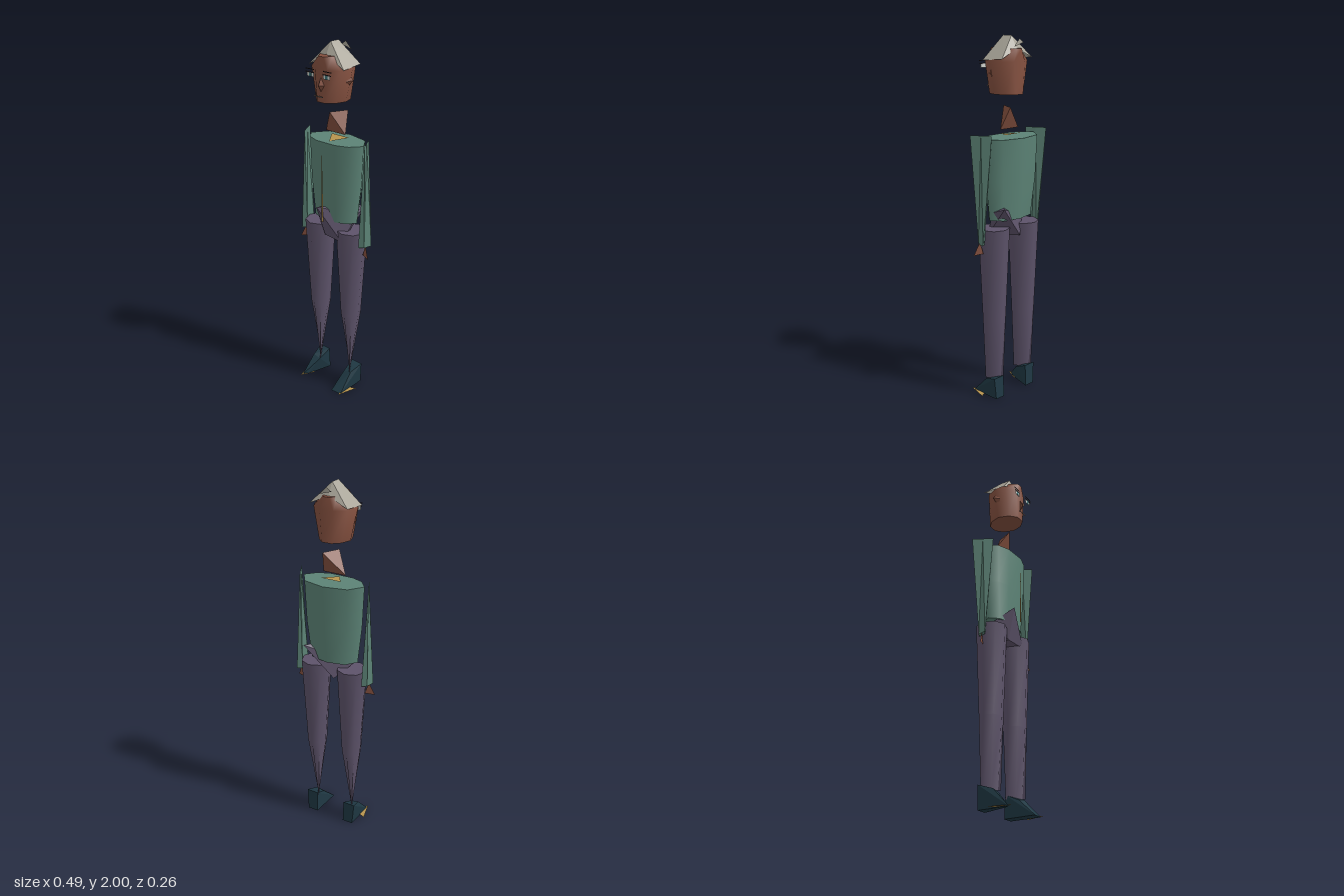
import * as THREE from 'three';
import { ConvexGeometry } from 'three/addons/geometries/ConvexGeometry.js';

const mat = (name, color) => {
  const m = new THREE.MeshStandardMaterial({ color, side: THREE.DoubleSide });
  m.name = name;
  return m;
};

// Closed skin through rings of [x, y, z], listed from bottom to top
function loft(rings, flat = false) {
  const n = rings[0].length, pos = [], idx = [];
  rings.forEach(r => r.forEach(p => pos.push(...p)));
  for (let i = 0; i < rings.length - 1; i++) {
    for (let j = 0; j < n; j++) {
      const a = i * n + j, b = i * n + (j + 1) % n;
      idx.push(a, a + n, b, b, a + n, b + n);
    }
  }
  [rings[0], rings[rings.length - 1]].forEach((r, top) => {
    const s = pos.length / 3;
    r.forEach(p => pos.push(...p));
    for (let j = 1; j < n - 1; j++) idx.push(s, s + j + top, s + j + 1 - top);
  });
  let g = new THREE.BufferGeometry();
  g.setAttribute('position', new THREE.Float32BufferAttribute(pos, 3));
  g.setIndex(idx);
  if (flat) g = g.toNonIndexed();
  g.computeVertexNormals();
  return g;
}

// Ring spanned by two half-axes a and b in the xz plane
function ring(cx, y, cz, a, b, n) {
  return Array.from({ length: n }, (_, i) => {
    const c = Math.cos(i / n * Math.PI * 2), s = Math.sin(i / n * Math.PI * 2);
    return [cx + a[0] * c + b[0] * s, y, cz + a[1] * c + b[1] * s];
  });
}

const hull = pts => new ConvexGeometry(pts.map(p => new THREE.Vector3(...p)));

function triangles(...tris) {
  const g = new THREE.BufferGeometry();
  g.setAttribute('position', new THREE.Float32BufferAttribute(tris.flat(2), 3));
  g.computeVertexNormals();
  return g;
}

export function createModel() {
  const model = new THREE.Group();
  const skin = mat('skin', 0x84503f), hairMat = mat('grey hair', 0xaaa69a);
  const teal = mat('teal cloth', 0x5c8376), purple = mat('purple cloth', 0x5d536a);
  const shoeMat = mat('dark shoe', 0x1f3843), gold = mat('gold', 0xb8954f);
  const white = mat('eye white', 0xcfd2cc), iris = mat('iris', 0x3d7377);
  const dark = mat('dark line', 0x2c2224), lipMat = mat('lip', 0x8d7770);
  const add = (name, geometry, material, parent = model) => {
    const m = new THREE.Mesh(geometry, material);
    m.name = name;
    parent.add(m);
    return m;
  };
  const plate = (name, x, y, z, w, h, material) =>
    add(name, new THREE.BoxGeometry(w, h, 0.002), material, head).position.set(x, y, z);

  // Head, straight from front to back
  const head = new THREE.Group();
  head.name = 'head';
  model.add(head);
  const section = [[1, 0], [0.78, 0.62], [0.32, 1], [-0.32, 1], [-0.78, 0.62],
    [-1, 0], [-0.78, -0.62], [-0.32, -1], [0.32, -1], [0.78, -0.62]];
  const levels = [[1.70, 0.085], [1.87, 0.125], [1.935, 0.055]];
  add('skull', loft(levels.map(([y, w]) => section.map(([x, z]) => [x * w, y, 0.005 + z * 0.095]))), skin, head);
  add('nose', hull([[0, 1.83, 0.1], [0, 1.755, 0.1], [0.022, 1.79, 0.1], [0, 1.79, 0.12]]), skin, head);
  for (const s of [-1, 1]) {
    add('ear', hull([[s * 0.105, 1.85, 0.01], [s * 0.09, 1.77, 0.01], [s * 0.105, 1.81, 0.03],
      [s * 0.125, 1.815, -0.005]]), skin, head);
    plate('eye', s * 0.055, 1.84, 0.118, 0.045, 0.02, white);
    plate('iris', s * 0.055, 1.84, 0.12, 0.016, 0.02, iris);
    plate('eyelid', s * 0.057, 1.852, 0.12, 0.055, 0.005, dark);
    plate('eyebrow', s * 0.06, 1.868, 0.118, 0.055, 0.004, dark);
  }
  plate('mouth', 0, 1.735, 0.118, 0.06, 0.006, lipMat);

  // Hair: ridged cap with raised fringe and nape
  const rf = [0, 2, 0.027], rb = [0, 2, -0.033];
  const lf = [0.118, 1.875, 0.062], lb = [0.112, 1.885, -0.075];
  const flip = ([x, y, z]) => [-x, y, z];
  const fringe = [0, 1.94, 0.058], nape = [0, 1.935, -0.07];
  add('hair', triangles(
    [rf, lf, lb], [rf, lb, rb], [rf, flip(lb), flip(lf)], [rf, rb, flip(lb)],
    [rf, fringe, lf], [rf, flip(lf), fringe], [rb, lb, nape], [rb, nape, flip(lb)]), hairMat, head);
  add('hairTuft', triangles([[-0.03, 1.965, -0.09], [0.04, 1.945, -0.09], [0, 1.985, -0.09]]), hairMat, head);

  // Neck wedge and collar
  add('neck', hull([[-0.07, 1.515, -0.015], [0.065, 1.515, -0.015], [-0.005, 1.635, 0.03],
    [0.04, 1.635, -0.065]]), skin);
  add('collar', triangles([[-0.06, 1.49, -0.05], [0, 1.48, 0.04], [0.06, 1.49, -0.05]]), gold);

  // Jacket body
  const chest = [[0.185, -0.02], [0.135, 0.04], [0.065, 0.065], [-0.065, 0.065], [-0.135, 0.04],
    [-0.185, -0.02], [-0.13, -0.1], [0, -0.13], [0.13, -0.1]];
  add('jacket', loft([[1.035, 0.8, 0.78], [1.25, 0.94, 0.94], [1.477, 1, 1]].map(([y, sx, sz]) =>
    chest.map(([x, z]) => [x * sx, y, z * sz]))), teal);
  add('zip', triangles([[0, 1.45, 0.097], [-0.007, 1.04, 0.097], [0.008, 1.04, 0.097]]), gold);

  // Hips
  add('hips', hull([[-0.05, 1.11, 0.09], [0.135, 1.11, -0.115], [0.14, 1.08, -0.03],
    [-0.03, 0.93, -0.07], [0.1, 0.93, 0.05], [-0.03, 0.935, 0.04], [-0.12, 1.02, 0]]), purple);

  for (const s of [-1, 1]) {
    const side = s > 0 ? 'left' : 'right';
    // Sleeve narrows to a diagonal edge at the shoulder
    add(side + 'Sleeve', loft([
      ring(s * 0.208, 0.915, -0.014, [0.008, 0.015], [-0.019, 0.032], 4),
      ring(s * 0.208, 1.5, -0.016, [0.028, 0.052], [0, 0], 4)], true), teal);
    add(side + 'Hand', triangles([[s * 0.215, 0.93, -0.01], [s * 0.247, 0.855, 0.005],
      [s * 0.195, 0.86, -0.015]]), skin);
    // Trouser leg narrows to a diagonal edge at the ankle
    add(side + 'Leg', loft([
      ring(s * 0.114, 0.1, -0.013, [0.028, 0.042], [0, 0], 8),
      ring(s * 0.114, 0.48, -0.014, [0.042, 0.048], [-0.04, 0.04], 8),
      ring(s * 0.114, 0.99, -0.015, [0.06, 0.06], [-0.06, 0.06], 8)]), purple);
    // Shoe wedge and pointed sole
    add(side + 'Shoe', hull([
      [s * 0.15, 0, -0.065], [s * 0.088, 0, -0.065], [s * 0.15, 0, 0.115],
      [s * (s > 0 ? 0.085 : 0.13), 0, s > 0 ? 0.12 : 0.085],
      [s * 0.16, 0.125, -0.06], [s * 0.09, 0.125, -0.06],
      [s * 0.145, 0.1, 0.02], [s * 0.095, 0.09, 0.02]]), shoeMat);
    add(side + 'Sole', triangles([[s * 0.185, 0.004, 0.015], [s * 0.15, 0.004, 0.132],
      [s * 0.11, 0.004, 0.05]]), gold);
  }
  return model;
}
